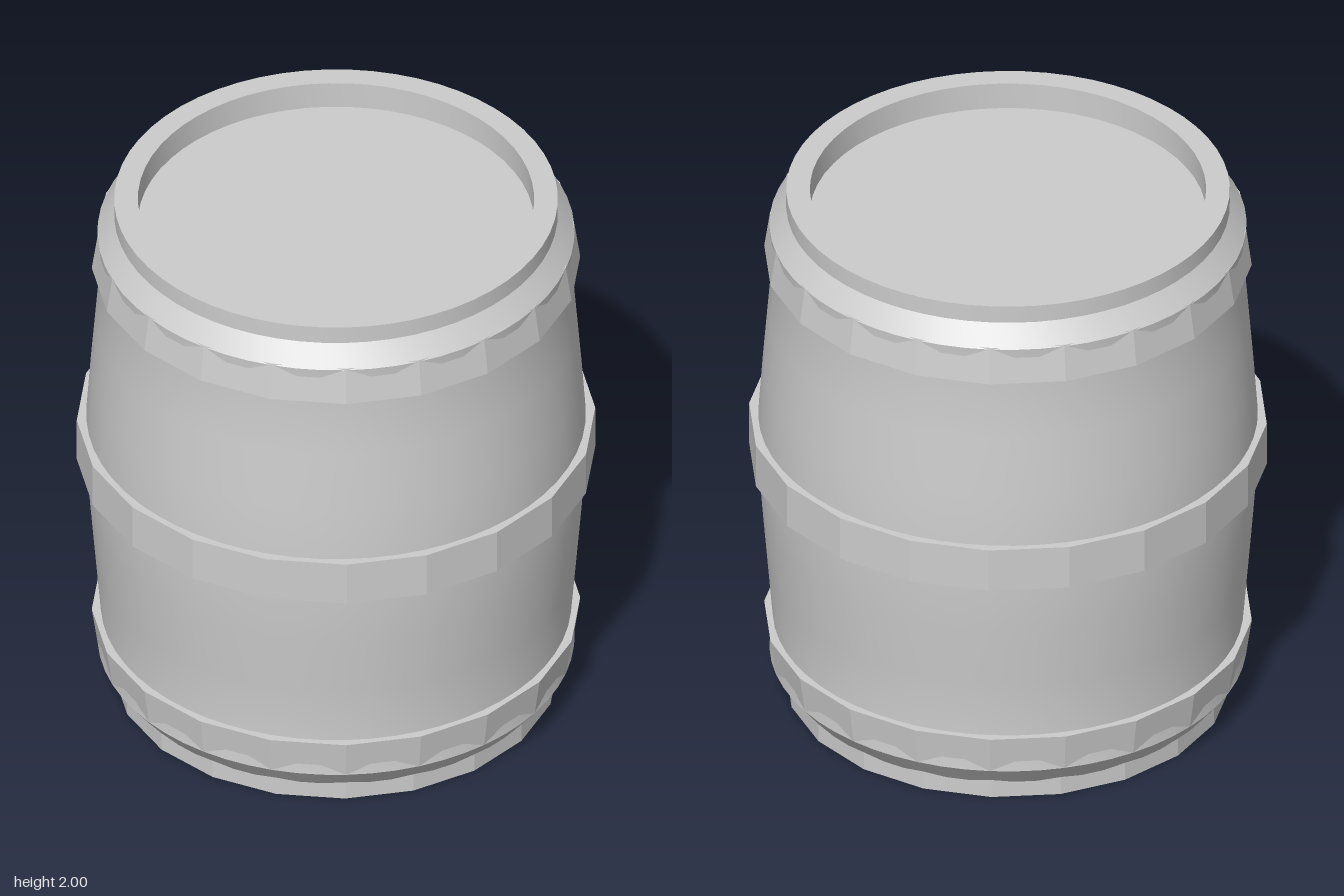
import * as THREE from 'three';
import { toCreasedNormals } from 'three/addons/utils/BufferGeometryUtils.js';

export function createModel() {
  const barrel = new THREE.Group();
  barrel.name = 'barrel';
  const grey = new THREE.MeshStandardMaterial({ color: 0xcccccc });
  grey.name = 'plainGrey';

  function add(name, geometry) {
    const mesh = new THREE.Mesh(geometry, grey);
    mesh.name = name;
    barrel.add(mesh);
    return mesh;
  }

  // Turned part: the profile runs anticlockwise, [radius, height]
  function turned(name, profile, sides, crease) {
    const points = profile.map(([r, y]) => new THREE.Vector2(r, y));
    return add(name, toCreasedNormals(new THREE.LatheGeometry(points, sides), crease));
  }

  // Bulging body with a chamfer at each end
  const half = [[0.755, 0.05], [0.825, 0.14], [0.813, 0.27], [0.832, 0.5], [0.85, 0.72], [0.864, 0.92]];
  const upper = half.map(([r, y]) => [r, 2 - y]).reverse();
  turned('body', [...half, ...upper], 60, 0.4);

  // Faceted hoops: closed rings with twenty flat sides
  function hoop(name, y0, r0, y1, r1) {
    const inner = 0.79;
    turned(name, [[inner, y0], [r0, y0], [r1, y1], [inner, y1]], 20, 0.1);
  }
  hoop('lowerHoop', 0.14, 0.825, 0.28, 0.845);
  hoop('middleHoop', 0.92, 0.897, 1.085, 0.897);
  hoop('upperHoop', 1.73, 0.845, 1.865, 0.825);

  // Round top rim and sunken lid
  turned('topRim', [[0.767, 1.9], [0.767, 2], [0.685, 2], [0.685, 1.9]], 60, 0.4);
  const lid = add('lid', new THREE.CircleGeometry(0.686, 60));
  lid.rotation.x = -Math.PI / 2;
  lid.position.y = 1.9;

  // Bottom rim: faceted outside, round inside, with a sunken base
  const outline = new THREE.Shape();
  for (let i = 0; i < 20; i++) {
    const a = i * Math.PI / 10;
    const x = 0.77 * Math.cos(a), y = 0.77 * Math.sin(a);
    if (i) outline.lineTo(x, y); else outline.moveTo(x, y);
  }
  outline.closePath();
  outline.holes.push(new THREE.Path().absarc(0, 0, 0.685, 0, Math.PI * 2, true));
  const ring = new THREE.ExtrudeGeometry(outline, { depth: 0.1, bevelEnabled: false, curveSegments: 60 });
  ring.rotateX(-Math.PI / 2);
  add('bottomRim', toCreasedNormals(ring, 0.2));
  const base = add('base', new THREE.CircleGeometry(0.686, 60));
  base.rotation.x = Math.PI / 2;
  base.position.y = 0.1;

  return barrel;
}
